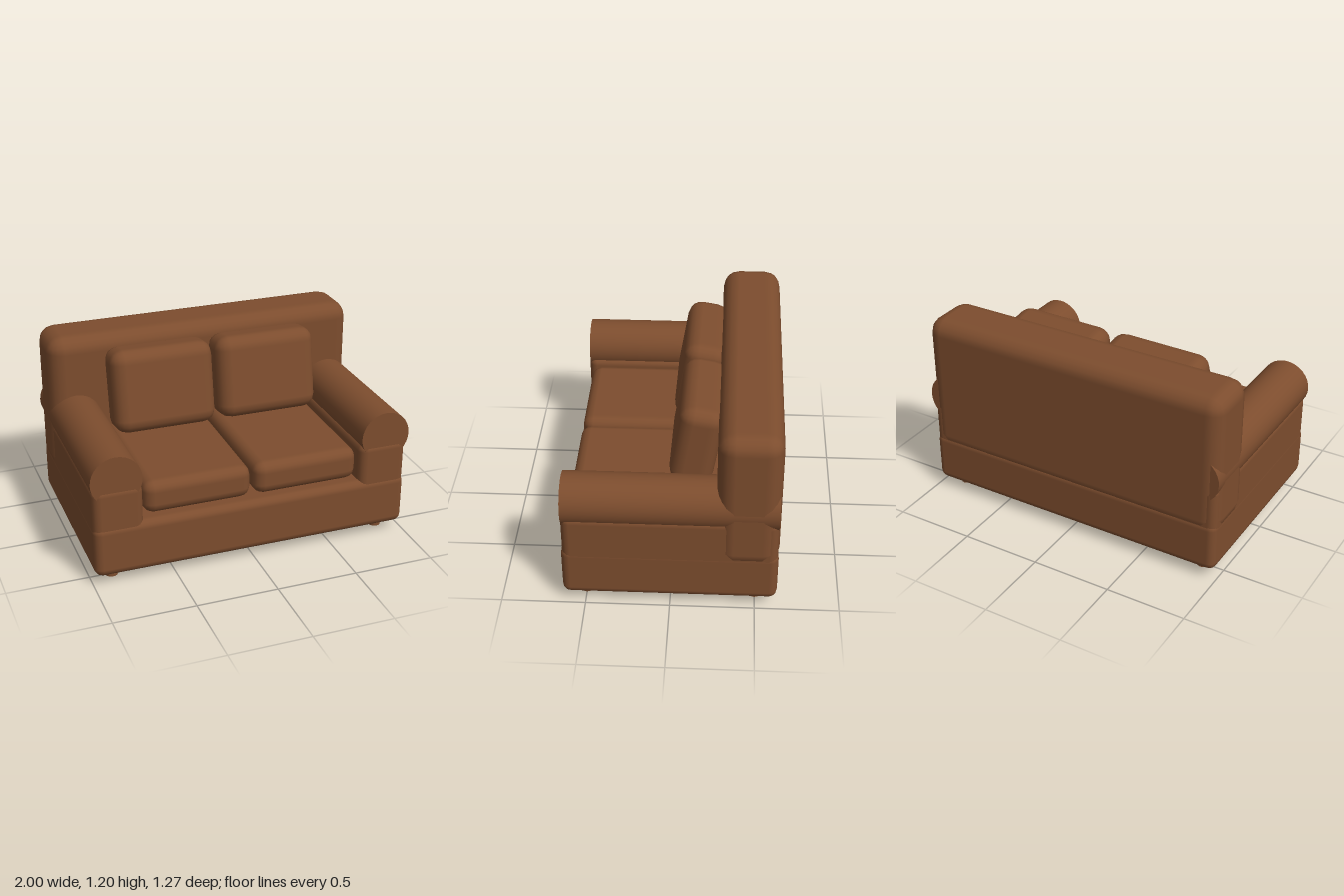
import * as THREE from 'three';
import { RoundedBoxGeometry } from 'three/addons/geometries/RoundedBoxGeometry.js';

export function createModel() {
  const sofa = new THREE.Group();
  sofa.name = 'sofa';
  const leather = new THREE.MeshStandardMaterial({ color: 0x7d4d2e });
  leather.name = 'brownLeather';

  function add(name, geometry, x, y, z) {
    const mesh = new THREE.Mesh(geometry, leather);
    mesh.name = name;
    mesh.position.set(x, y, z);
    sofa.add(mesh);
    return mesh;
  }

  // Padded block given by its extents on each axis
  function block(name, [x0, x1], [y0, y1], [z0, z1], radius) {
    const geometry = new RoundedBoxGeometry(x1 - x0, y1 - y0, z1 - z0, 2, radius);
    return add(name, geometry, (x0 + x1) / 2, (y0 + y1) / 2, (z0 + z1) / 2);
  }

  // Base and backrest
  block('base', [-0.99, 0.99], [0.06, 0.39], [-0.63, 0.635], 0.05);
  block('backrest', [-0.998, 0.998], [0.3, 1.2], [-0.633, -0.265], 0.1);

  for (const side of [1, -1]) {
    const prefix = side > 0 ? 'left' : 'right';
    const span = (a, b) => (side > 0 ? [a, b] : [-b, -a]);

    // Arm with a rolled top running front to back
    block(prefix + 'Arm', span(0.685, 0.988), [0.15, 0.632], [-0.625, 0.628], 0.05);
    const roll = new THREE.CylinderGeometry(0.155, 0.155, 1.245, 32).rotateX(Math.PI / 2);
    add(prefix + 'ArmRoll', roll, side * 0.845, 0.674, 0);

    // Seat cushion
    block(prefix + 'SeatCushion', span(0.01, 0.675), [0.4, 0.607], [-0.32, 0.602], 0.065);

    // Back cushion leaning on the backrest
    const cushion = new RoundedBoxGeometry(0.65, 0.525, 0.26, 2, 0.085);
    const back = add(prefix + 'BackCushion', cushion, side * 0.338, 0.88, -0.14);
    back.rotation.x = -0.165;
    back.rotation.y = -0.012;

    // Feet
    for (const z of [0.5, -0.5]) {
      const foot = new THREE.CylinderGeometry(0.039, 0.039, 0.09, 16);
      add(prefix + (z > 0 ? 'FrontFoot' : 'BackFoot'), foot, side * 0.865, 0.045, z);
    }
  }
  return sofa;
}
